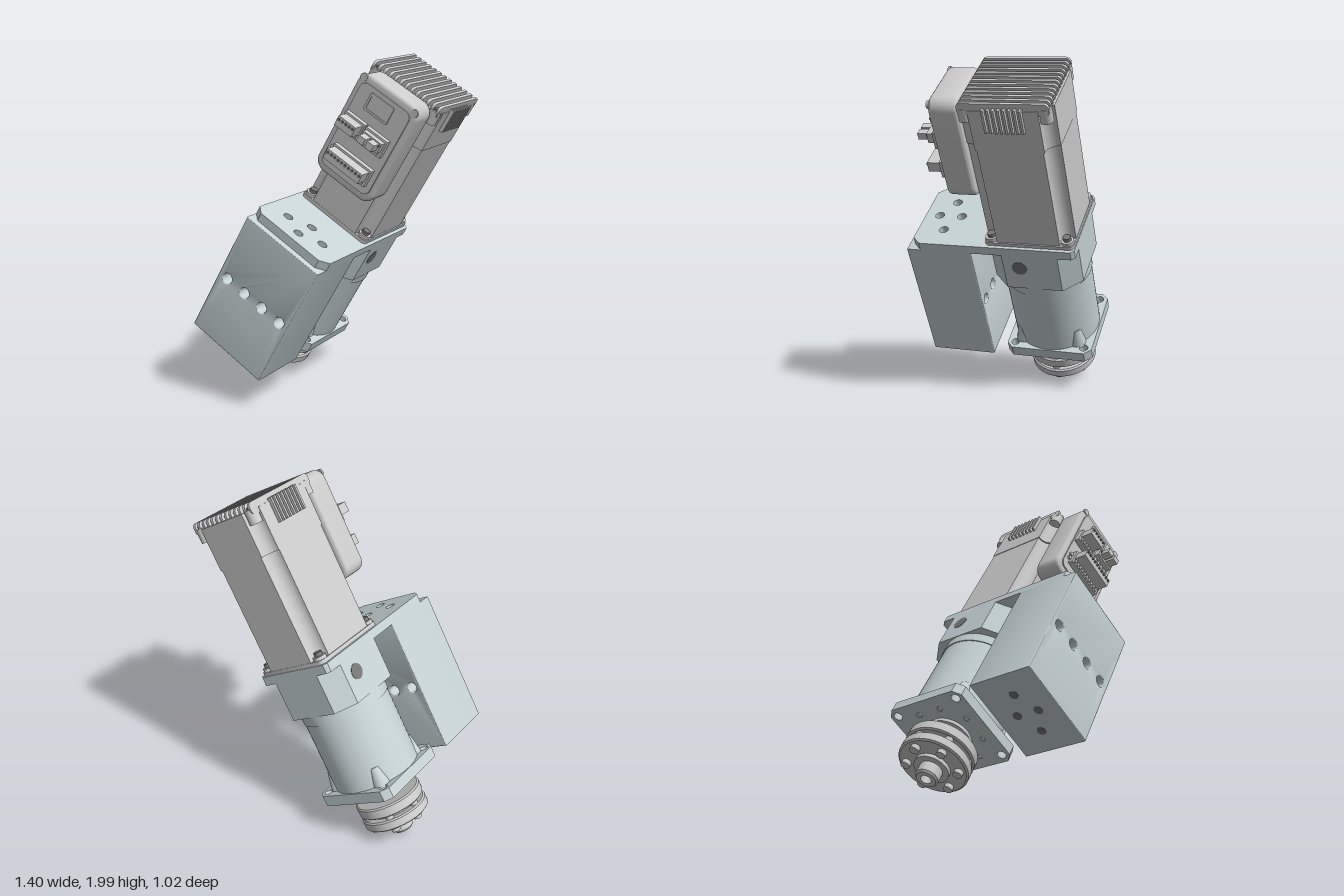
import * as THREE from 'three';
import { toCreasedNormals } from 'three/addons/utils/BufferGeometryUtils.js';

const motorMat = new THREE.MeshStandardMaterial({ color: 0xcccccc });
const bracketMat = new THREE.MeshStandardMaterial({ color: 0xc6d2d4 });
const darkMat = new THREE.MeshStandardMaterial({ color: 0x777777 });
const AXIS_Z = -0.243; // z of the motor axis

function add(parent, name, geometry, material, x = 0, y = 0, z = 0) {
  const mesh = new THREE.Mesh(geometry, material);
  mesh.name = name;
  mesh.position.set(x, y, z);
  parent.add(mesh);
  return mesh;
}

const box = (w, h, d) => new THREE.BoxGeometry(w, h, d);
const cyl = (r, h, n = 32, r2 = r) => new THREE.CylinderGeometry(r, r2, h, n);

function hole(shape, x, y, r) {
  shape.holes.push(new THREE.Path().absarc(x, y, r, 0, Math.PI * 2, true));
}

// Rectangle with cut corners
function cutRect(x0, y0, x1, y1, c) {
  return new THREE.Shape([
    [x0 + c, y0], [x1 - c, y0], [x1, y0 + c], [x1, y1 - c],
    [x1 - c, y1], [x0 + c, y1], [x0, y1 - c], [x0, y0 + c],
  ].map(([x, y]) => new THREE.Vector2(x, y)));
}

// Rectangle with rounded corners
function roundRect(x0, y0, x1, y1, r) {
  const s = new THREE.Shape();
  s.absarc(x1 - r, y1 - r, r, 0, Math.PI / 2);
  s.absarc(x0 + r, y1 - r, r, Math.PI / 2, Math.PI);
  s.absarc(x0 + r, y0 + r, r, Math.PI, Math.PI * 1.5);
  s.absarc(x1 - r, y0 + r, r, Math.PI * 1.5, Math.PI * 2);
  return s;
}

// Rectangle with a concave round groove in each corner
function groovedRect(hx, hz, r) {
  const s = new THREE.Shape();
  s.moveTo(hx, -hz + r);
  s.lineTo(hx, hz - r);
  s.absarc(hx, hz, r, -Math.PI / 2, -Math.PI, true);
  s.absarc(-hx, hz, r, 0, -Math.PI / 2, true);
  s.absarc(-hx, -hz, r, Math.PI / 2, 0, true);
  s.absarc(hx, -hz, r, Math.PI, Math.PI / 2, true);
  return s;
}

function extrude(shape, depth, bevel = 0) {
  return toCreasedNormals(new THREE.ExtrudeGeometry(shape, {
    depth: depth - 2 * bevel, curveSegments: 10, bevelEnabled: bevel > 0,
    bevelSize: bevel, bevelThickness: bevel, bevelOffset: -bevel, bevelSegments: 3,
  }).translate(0, 0, bevel), 0.6);
}

// Plan shape (x, -z) extruded upwards
const slab = (shape, h, bevel) => extrude(shape, h, bevel).rotateX(-Math.PI / 2);

function corners(hx, hz, fn) {
  for (const sx of [-1, 1]) for (const sz of [-1, 1]) fn(sx * hx, AXIS_Z + sz * hz);
}

function bracket(g) {
  // Mounting block with four through holes
  const face = new THREE.Shape();
  face.moveTo(-0.265, 0.072).lineTo(0.265, 0.072).lineTo(0.265, 0.88).lineTo(-0.265, 0.88);
  for (let i = 0; i < 4; i++) hole(face, -0.203 + i * 0.135, 0.472, 0.032);
  add(g, 'mountingBlock', extrude(face, 0.4, 0.006), bracketMat, 0, 0, 0.107);
  // Top plate with a diamond of holes and cut front corners
  const plan = new THREE.Shape();
  plan.moveTo(-0.265, -0.42).lineTo(-0.215, -0.47).lineTo(0.215, -0.47).lineTo(0.265, -0.42);
  plan.lineTo(0.265, 0.49).lineTo(0.245, 0.51).lineTo(-0.245, 0.51).lineTo(-0.265, 0.49);
  const spots = [[0.13, 0.31], [-0.13, 0.31], [0, 0.24], [0, 0.38]];
  for (const [x, z] of spots) hole(plan, x, -z, 0.028);
  add(g, 'topPlate', slab(plan, 0.053), bracketMat, 0, 0.878, 0);
  for (const [x, z] of spots) add(g, 'blockBottomHole', cyl(0.026, 0.002, 20), darkMat, x, 0.0715, z);
}

function gearbox(g) {
  add(g, 'gearboxTopFlange', slab(cutRect(-0.265, -0.265, 0.265, 0.265, 0.1), 0.24), bracketMat, 0, 0.64, AXIS_Z);
  add(g, 'gearboxBody', cyl(0.258, 0.5, 64), bracketMat, 0, 0.39, AXIS_Z);
  add(g, 'gearboxCollar', cyl(0.263, 0.06, 64), bracketMat, 0, 0.61, AXIS_Z);
  const flange = cutRect(-0.265, -0.265, 0.265, 0.265, 0.04);
  for (const sx of [-1, 1]) for (const sz of [-1, 1]) hole(flange, sx * 0.215, sz * 0.215, 0.026);
  add(g, 'gearboxBottomFlange', slab(flange, 0.065), bracketMat, 0, 0.075, AXIS_Z);
  // Gussets between body and bottom flange
  corners(0.165, 0.165, (x, z) => {
    const m = add(g, 'flangeGusset', cyl(0.035, 0.12, 20, 0.06), bracketMat, x, 0.19, z);
    m.scale.set(0.9, 1, 0.9);
  });
  // Clamp access holes on both sides
  for (const s of [-1, 1]) {
    const m = add(g, 'clampHole', cyl(0.045, 0.004, 24), darkMat, s * 0.265, 0.79, AXIS_Z + s * 0.07);
    m.rotation.z = Math.PI / 2;
  }
  for (let i = 0; i < 8; i++) {
    const a = (i + 0.5) * Math.PI / 4;
    add(g, 'flangeScrew', cyl(0.016, 0.01, 12), bracketMat, Math.cos(a) * 0.2, 0.073, AXIS_Z + Math.sin(a) * 0.2);
  }
}

function coupling(g) {
  const turned = [[0, 0.08], [0.13, 0.08], [0.13, 0.055], [0.085, 0.055], [0.085, -0.012],
    [0.19, -0.012], [0.2, -0.02], [0.2, -0.072], [0.19, -0.08], [0.15, -0.08], [0.15, -0.102],
    [0.19, -0.102], [0.2, -0.11], [0.2, -0.155], [0.19, -0.163], [0.1, -0.163], [0.1, -0.185],
    [0.065, -0.185], [0.065, -0.245], [0.055, -0.257], [0.03, -0.257], [0.03, -0.2], [0, -0.2]]
    .map(([r, y]) => new THREE.Vector2(r, y)).reverse();
  add(g, 'outputCoupling', toCreasedNormals(new THREE.LatheGeometry(turned, 48), 0.5), motorMat, 0, 0, AXIS_Z);
  for (let i = 0; i < 6; i++) {
    const a = i * Math.PI / 3;
    add(g, 'couplingBolt', cyl(0.026, 0.03, 16), motorMat, Math.cos(a) * 0.15, -0.175, AXIS_Z + Math.sin(a) * 0.15);
    add(g, 'couplingSpacer', cyl(0.024, 0.04, 16), motorMat, Math.cos(a) * 0.165, -0.091, AXIS_Z + Math.sin(a) * 0.165);
  }
}

function motor(g) {
  add(g, 'motorBase', slab(roundRect(-0.245, -0.262, 0.245, 0.262, 0.03), 0.022), motorMat, 0, 0.931, AXIS_Z);
  add(g, 'motorBody', slab(groovedRect(0.238, 0.26, 0.075), 0.63), motorMat, 0, 0.95, AXIS_Z);
  add(g, 'motorCap', slab(groovedRect(0.241, 0.262, 0.07), 0.25), motorMat, 0, 1.58, AXIS_Z);
  // Corner screws at the base, corner posts and screws at the cap
  corners(0.205, 0.222, (x, z) => {
    add(g, 'baseBoss', cyl(0.037, 0.022, 24), motorMat, x, 0.962, z);
    add(g, 'baseScrew', cyl(0.023, 0.03, 16), darkMat, x, 0.98, z);
    add(g, 'capBoss', cyl(0.036, 0.08, 24), motorMat, x, 1.795, z);
    add(g, 'capScrew', cyl(0.02, 0.014, 16), darkMat, x, 1.84, z);
  });
  // Cooling fins across the top
  for (let i = 0; i < 13; i++) {
    const x = -0.228 + i * 0.038;
    const fin = extrude(roundRect(-0.25, -0.035, 0.25, 0.035, 0.025), 0.017).rotateY(Math.PI / 2);
    add(g, 'topFin', fin, motorMat, x - 0.0085, 1.836, AXIS_Z);
  }
  // Short upright fins on both sides of the cap
  for (const s of [-1, 1]) for (let i = 0; i < 8; i++) {
    add(g, 'sideFin', box(0.03, 0.14, 0.013), motorMat, s * 0.248, 1.775, AXIS_Z + (i - 3.5) * 0.029);
  }
}

function controller(g) {
  add(g, 'controllerHousing', extrude(roundRect(-0.2, 1.225, 0.21, 1.855, 0.07), 0.168, 0.02), motorMat, 0, 0, 0.018);
  add(g, 'controllerPanel', extrude(roundRect(-0.165, 1.27, 0.175, 1.81, 0.04), 0.012), motorMat, 0, 0, 0.182);
  // Display window
  const frame = roundRect(-0.085, 1.68, 0.075, 1.785, 0.008);
  frame.holes.push(roundRect(-0.072, 1.692, 0.062, 1.773, 0.006));
  add(g, 'displayFrame', extrude(frame, 0.012), motorMat, 0, 0, 0.19);
  add(g, 'displayWindow', box(0.134, 0.081, 0.006), motorMat, -0.005, 1.7325, 0.194);
  // Terminal connectors: [x, y, width, height, reach, pins]
  for (const [x, y, w, h, d, n] of [
    [0.01, 1.385, 0.25, 0.06, 0.12, 10], [-0.086, 1.58, 0.12, 0.06, 0.12, 5], [0.068, 1.577, 0.13, 0.06, 0.08, 4]]) {
    add(g, 'connectorBase', box(w + 0.02, h + 0.045, 0.045), motorMat, x, y - 0.01, 0.205);
    add(g, 'connector', box(w, h, d), motorMat, x, y, 0.185 + d / 2);
    const step = w / n;
    for (let i = 0; i < n; i++) {
      const px = x + (i - (n - 1) / 2) * step;
      add(g, 'terminalScrew', cyl(step * 0.33, 0.008, 12), darkMat, px, y + 0.012, 0.187 + d).rotation.x = Math.PI / 2;
      add(g, 'terminalSlot', box(step * 0.6, 0.028, 0.02), motorMat, px, y - 0.04, 0.225);
    }
  }
  // Cable socket latches
  for (const x of [0.04, 0.098]) add(g, 'socketPlug', box(0.045, 0.04, 0.13), motorMat, x, 1.58, 0.26);
  // Status buttons
  for (const y of [1.36, 1.395]) {
    add(g, 'button', cyl(0.013, 0.02, 16), motorMat, -0.135, y, 0.197).rotation.x = Math.PI / 2;
  }
  // Housing corner screws
  for (const x of [-0.17, 0.18]) {
    add(g, 'housingScrew', cyl(0.022, 0.014, 16), motorMat, x, 1.825, 0.184).rotation.x = Math.PI / 2;
  }
}

export function createModel() {
  const root = new THREE.Group();
  root.name = 'gearedMotor';
  // Whole assembly leans 30 degrees to the side
  const tilt = new THREE.Group();
  tilt.name = 'tiltedAssembly';
  tilt.position.set(-0.446, 0.2575, 0);
  tilt.rotation.z = -Math.PI / 6;
  root.add(tilt);
  for (const [name, build] of Object.entries({ bracket, gearbox, coupling, motor, controller })) {
    const part = new THREE.Group();
    part.name = name;
    build(part);
    tilt.add(part);
  }
  return root;
}
